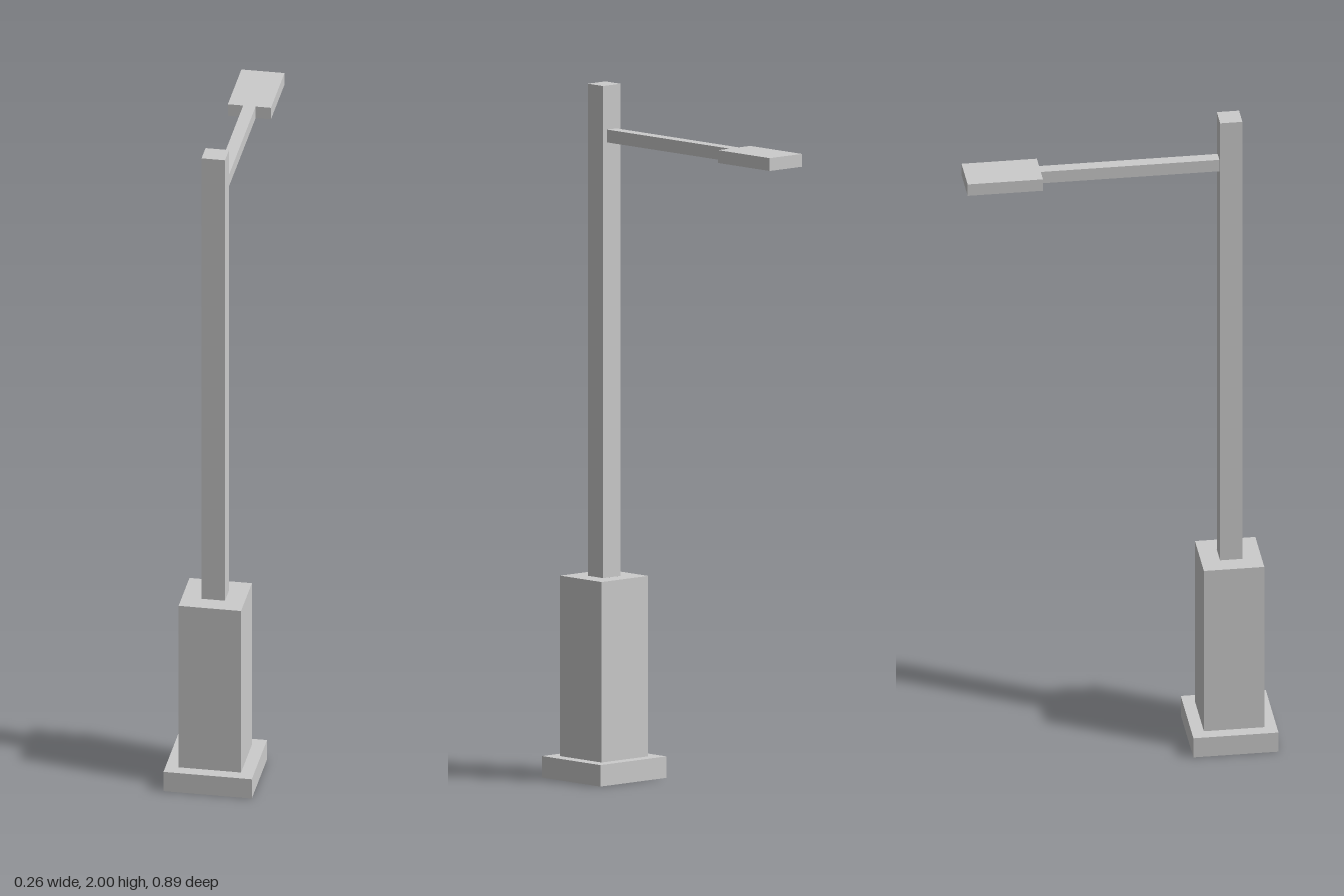
import * as THREE from 'three';

export function createModel() {
  const group = new THREE.Group();
  const postZ = 0.3205;
  const material = new THREE.MeshStandardMaterial({ color: 0xcccccc, flatShading: true });
  const shellMaterial = material.clone();
  shellMaterial.side = THREE.DoubleSide;

  function add(name, geometry, mat) {
    const mesh = new THREE.Mesh(geometry, mat);
    mesh.name = name;
    group.add(mesh);
    return mesh;
  }

  // Square hollow tier: a wall from y0 to y1, then a flat ledge in to the next tier
  function addTier(name, halfX, halfZ, y0, y1, innerHalfX) {
    const profile = [[halfX, y0], [halfX, y1], [innerHalfX, y1]]
      .map(([r, y]) => new THREE.Vector2(r * Math.SQRT2, y));
    const geometry = new THREE.LatheGeometry(profile, 4, Math.PI / 4).toNonIndexed();
    geometry.scale(1, 1, halfZ / halfX);
    geometry.computeVertexNormals();
    add(name, geometry, shellMaterial).position.z = postZ;
  }

  // Stepped post, open underneath
  addTier('plinth', 0.128, 0.1225, 0, 0.062, 0.0905);
  addTier('pedestal', 0.0905, 0.087, 0.062, 0.582, 0.034);
  addTier('pole', 0.034, 0.032, 0.582, 2, 0);

  // Arm and flat lamp head, one T-shaped plate reaching backwards
  const armEnd = postZ - 0.032, neck = -0.226, tip = -0.443;
  const half = [[0.018, armEnd], [0.018, neck], [0.0625, neck], [0.0625, tip]];
  const outline = [...half, ...half.map(([x, z]) => [-x, z]).reverse()];
  const shape = new THREE.Shape(outline.map(([x, z]) => new THREE.Vector2(x, -z)));
  const plate = new THREE.ExtrudeGeometry(shape, { depth: 0.037, bevelEnabled: false });
  plate.rotateX(-Math.PI / 2);
  add('armAndLampHead', plate, material).position.y = 1.836;

  return group;
}
